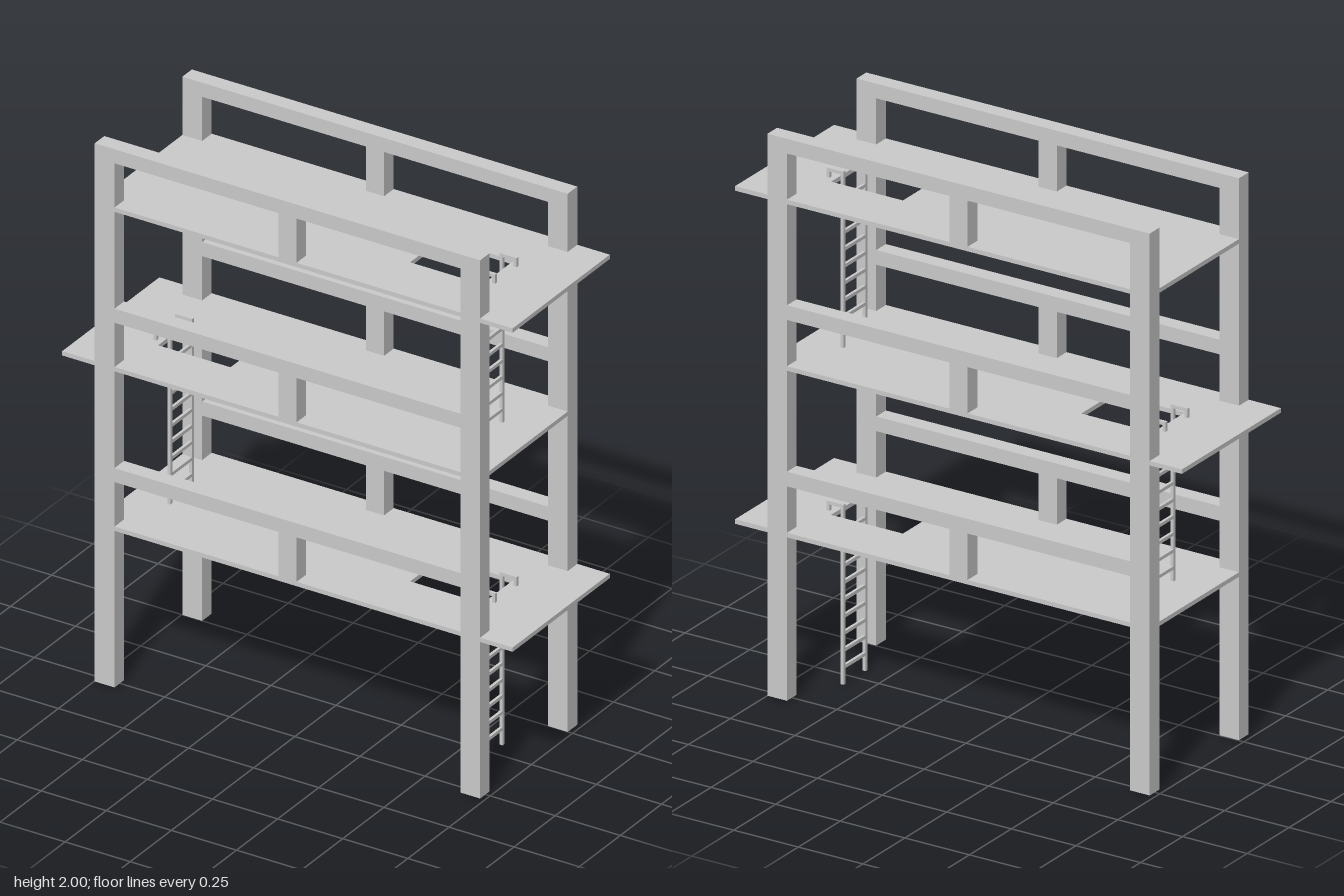
import * as THREE from 'three';

const material = new THREE.MeshStandardMaterial({ color: 0xcccccc, flatShading: true });

// Box given by its min and max along each axis
function box(name, [x0, x1], [y0, y1], [z0, z1]) {
  const mesh = new THREE.Mesh(new THREE.BoxGeometry(x1 - x0, y1 - y0, z1 - z0), material);
  mesh.position.set((x0 + x1) / 2, (y0 + y1) / 2, (z0 + z1) / 2);
  mesh.name = name;
  return mesh;
}

// Rectangle outline running counter-clockwise
function rectangle(path, x0, x1, z0, z1) {
  path.moveTo(x0, z0);
  path.lineTo(x1, z0);
  path.lineTo(x1, z1);
  path.lineTo(x0, z1);
  path.closePath();
  return path;
}

const OUT = 0.295, IN = 0.237;        // outer and inner faces of the frames in z
const STOREY = 0.5905, SLAB = 0.016;  // floor spacing and thickness

// Floor slab with a ladder hatch, overhanging on one side
function createFloor() {
  const shape = rectangle(new THREE.Shape(), -0.74, 0.865, -OUT, OUT);
  shape.holes.push(rectangle(new THREE.Path(), 0.345, 0.623, -0.095, 0.095));
  const geometry = new THREE.ExtrudeGeometry(shape, { depth: SLAB, bevelEnabled: false });
  geometry.rotateX(-Math.PI / 2);
  const floor = new THREE.Mesh(geometry, material);
  floor.name = 'floor';
  return floor;
}

// Ladder with hooked rails that rest on the floor above
function createLadder() {
  const ladder = new THREE.Group();
  ladder.name = 'ladder';
  for (const z of [-0.066, 0.066]) {
    const span = [z - 0.006, z + 0.006];
    ladder.add(
      box('ladderRail', [0.59, 0.602], [0, 0.638], span),
      box('ladderHook', [0.602, 0.656], [0.626, 0.638], span),
      box('ladderHookEnd', [0.644, 0.656], [0.604, 0.626], span),
    );
  }
  for (let i = 1; i <= 9; i++) {
    const y = i * 0.06;
    ladder.add(box('ladderRung', [0.591, 0.601], [y - 0.006, y + 0.006], [-0.06, 0.06]));
  }
  return ladder;
}

export function createModel() {
  const model = new THREE.Group();
  model.name = 'scaffoldTower';

  // Front and back frames: posts, beams and centre struts
  for (const side of [-1, 1]) {
    const z = side > 0 ? [IN, OUT] : [-OUT, -IN];
    const frame = new THREE.Group();
    frame.name = side > 0 ? 'frontFrame' : 'backFrame';
    frame.add(box('post', [-0.74, -0.664], [0.008, 2], z));
    frame.add(box('post', [0.664, 0.74], [0.008, 2], z));
    for (let i = 0; i < 3; i++) {
      const top = 0.82 + i * 0.59;
      frame.add(box('beam', [-0.664, 0.664], [top - 0.052, top], z));
      frame.add(box('strut', [-0.035, 0.035], [(i + 1) * STOREY + 0.013, top - 0.052], z));
    }
    model.add(frame);
  }

  // Floors and ladders, turned about on alternate storeys
  for (let i = 0; i < 3; i++) {
    const storey = new THREE.Group();
    storey.name = 'storey' + (i + 1);
    const floor = createFloor();
    floor.position.y = STOREY - 0.003;
    storey.add(floor, createLadder());
    storey.position.y = i * STOREY;
    if (i === 1) storey.rotation.y = Math.PI;
    model.add(storey);
  }
  return model;
}
